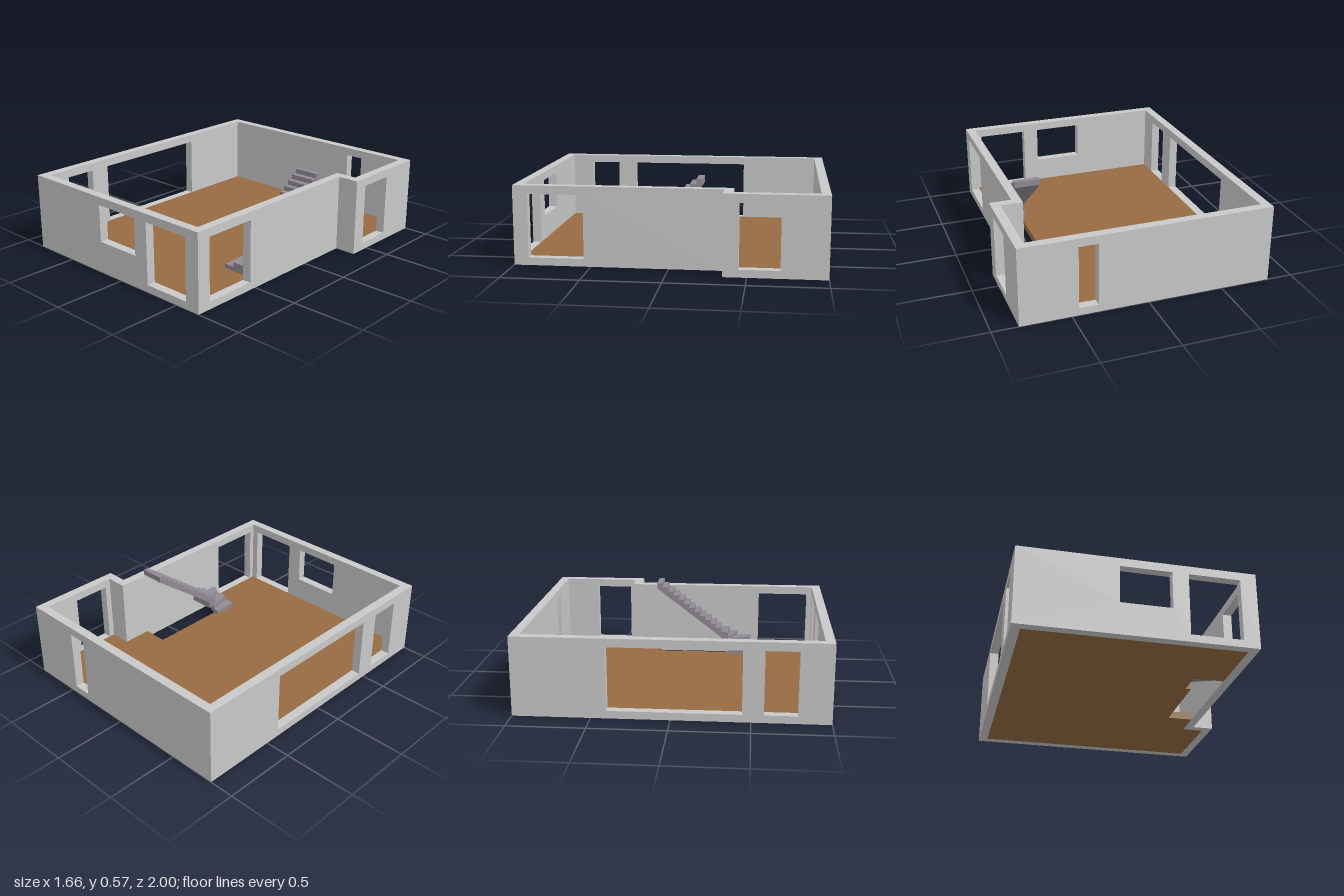
import * as THREE from 'three';

const HEIGHT = 0.52, THICK = 0.06, FLOOR = 0.05, HEAD = 0.465;
const RISE = 0.52 / 17, GOING = 0.04;

const wallMat = new THREE.MeshStandardMaterial({ name: 'wall grey', color: 0xc8c8c8 });
const floorMat = new THREE.MeshStandardMaterial({ name: 'wood brown', color: 0x966b41 });
const stairMat = new THREE.MeshStandardMaterial({ name: 'stair grey', color: 0x908a92 });

const shapeOf = (pts) => new THREE.Shape(pts.map(([a, b]) => new THREE.Vector2(a, b)));
const extrude = (shape, depth) => new THREE.ExtrudeGeometry(shape, { depth, bevelEnabled: false });

function add(group, name, geometry, material) {
  const mesh = new THREE.Mesh(geometry, material);
  mesh.name = name;
  group.add(mesh);
  return mesh;
}

// Upright panel from a to b with rectangular openings [from, to, bottom]
function panel(a, b, openings) {
  const shape = shapeOf([[a, 0], [b, 0], [b, HEIGHT], [a, HEIGHT]]);
  for (const [from, to, bottom = FLOOR] of openings) {
    shape.holes.push(new THREE.Path([
      new THREE.Vector2(from, bottom), new THREE.Vector2(from, HEAD),
      new THREE.Vector2(to, HEAD), new THREE.Vector2(to, bottom),
    ]));
  }
  return extrude(shape, THICK);
}

// Plan outline (x, z) raised between two heights
function slab(pts, bottom, top) {
  return extrude(shapeOf(pts), top - bottom).rotateX(Math.PI / 2).translate(0, top, 0);
}

// Panel along x starting at depth z, and panel along z whose +x face is at x
const wallX = (z, a, b, openings = []) => panel(a, b, openings).translate(0, 0, z);
const wallZ = (x, a, b, openings = []) => panel(a, b, openings).rotateY(-Math.PI / 2).translate(x, 0, 0);

export function createModel() {
  const house = new THREE.Group();
  house.name = 'houseStorey';

  // Outer walls with door and window openings
  const walls = new THREE.Group();
  walls.name = 'walls';
  add(walls, 'frontWall', wallX(0.94, -0.83, 0.685, [[-0.19, 0.14, 0.215], [0.245, 0.58]]), wallMat);
  add(walls, 'backWall', wallX(-1, -0.83, 0.83, [[0.33, 0.455]]), wallMat);
  add(walls, 'rightWall', wallZ(-0.77, -0.94, 0.94, [[-0.4, 0.445], [0.58, 0.79]]), wallMat);
  add(walls, 'leftWall', wallZ(0.685, -0.35, 0.94, [[0.545, 0.905]]), wallMat);
  add(walls, 'bayWall', wallZ(0.83, -0.94, -0.35, [[-0.705, -0.45]]), wallMat);
  add(walls, 'bayReturn', wallX(-0.41, 0.625, 0.77), wallMat);
  house.add(walls);

  // Floor, notched around the stairwell
  add(house, 'floor', slab([
    [-0.77, -0.94], [0.77, -0.94], [0.77, -0.41], [0.625, -0.41], [0.625, -0.21], [0.455, -0.21],
    [0.455, 0.32], [0.42, 0.32], [0.42, 0.49], [0.625, 0.49], [0.625, 0.94], [-0.77, 0.94],
  ], 0, FLOOR), floorMat);

  const stairs = new THREE.Group();
  stairs.name = 'stairs';

  // Winding steps fanning around the inner corner
  const P = [0.455, 0.32];
  const winders = [
    [[0.42, 0.32], P, [0.495, 0.49], [0.42, 0.49]],
    [P, [0.595, 0.49], [0.495, 0.49]],
    [P, [0.625, 0.39], [0.625, 0.49], [0.595, 0.49]],
    [P, [0.625, 0.33], [0.625, 0.39]],
    [P, [0.455, 0.27], [0.625, 0.27], [0.625, 0.33]],
  ];
  winders.forEach((pts, i) => {
    const top = FLOOR + (i + 1) * RISE;
    add(stairs, `winderStep${i + 1}`, slab(pts, Math.max(FLOOR, top - 0.09), top), stairMat);
  });

  // Straight flight: stepped top, sloping underside
  const profile = [];
  for (let i = 0; i < 12; i++) {
    const y = FLOOR + (i + 6) * RISE, z = 0.27 - i * GOING;
    profile.push([z, y], [z - GOING, y]);
  }
  profile.push([-0.21, 0.53], [0.27, 0.53 - 12 * RISE]);
  add(stairs, 'straightFlight',
    extrude(shapeOf(profile), 0.17).rotateY(-Math.PI / 2).translate(0.625, 0, 0), stairMat);
  house.add(stairs);

  return house;
}
